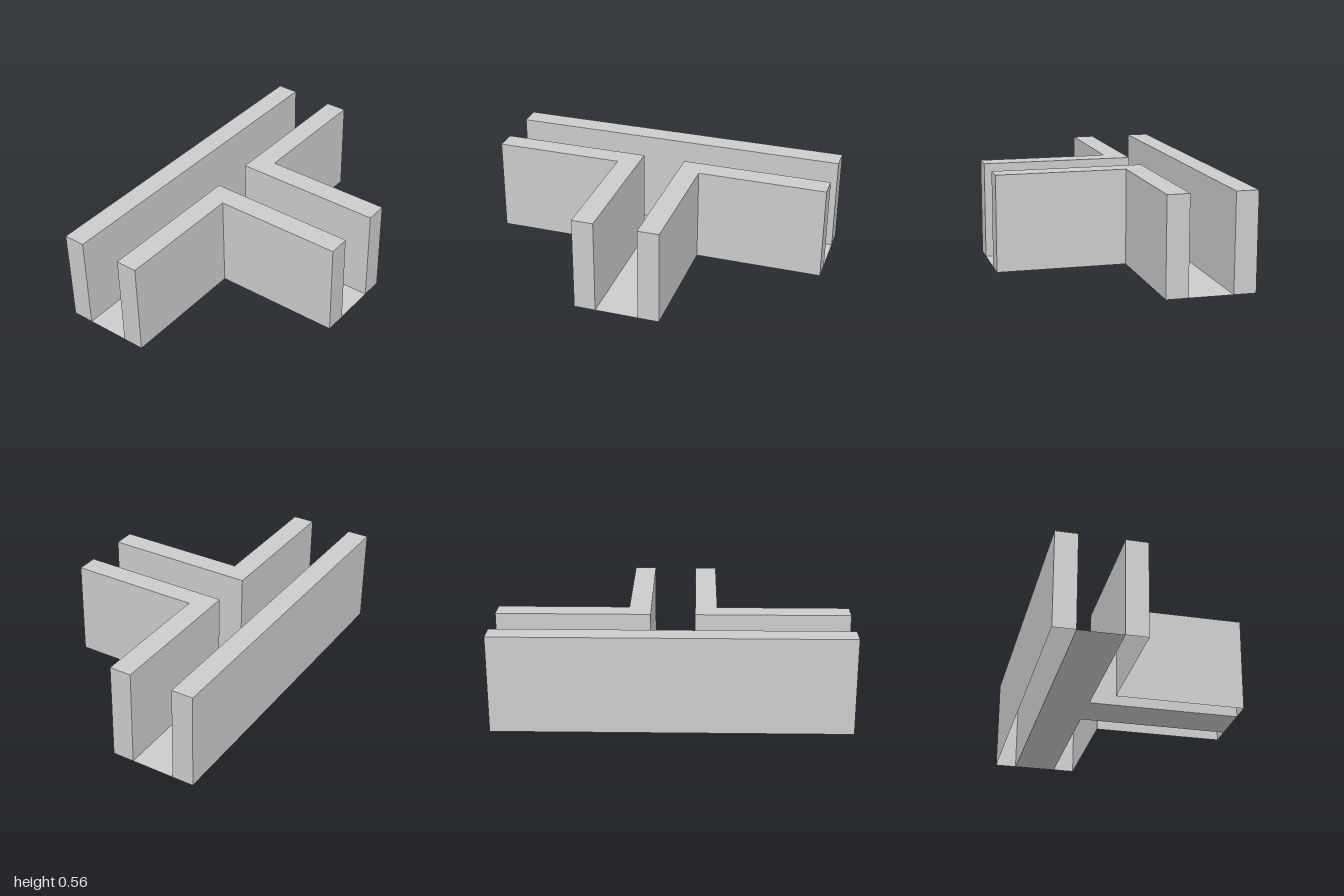
import * as THREE from 'three';

const HEIGHT = 0.555;
const material = new THREE.MeshStandardMaterial({ color: 0xcccccc, flatShading: true, side: THREE.DoubleSide });

// Plan outlines are [x, z] points
const outline = (points) => new THREE.Shape(points.map(([x, z]) => new THREE.Vector2(x, -z)));

// Walls are hollow shells: sides and top, open underneath
function wallGeometry(points) {
  const solid = new THREE.ExtrudeGeometry(outline(points), { depth: HEIGHT, bevelEnabled: false });
  solid.rotateX(-Math.PI / 2);
  const pos = solid.attributes.position;
  const kept = [];
  for (let i = 0; i < pos.count; i += 3) {
    const onGround = [0, 1, 2].every((k) => pos.getY(i + k) < 1e-4);
    if (onGround) continue;
    for (let k = 0; k < 3; k++) kept.push(pos.getX(i + k), pos.getY(i + k), pos.getZ(i + k));
  }
  const shell = new THREE.BufferGeometry();
  shell.setAttribute('position', new THREE.Float32BufferAttribute(kept, 3));
  shell.computeVertexNormals();
  return shell;
}

export function createModel() {
  const group = new THREE.Group();
  group.name = 'corridorJunction';
  const add = (name, geometry) => {
    const mesh = new THREE.Mesh(geometry, material);
    mesh.name = name;
    group.add(mesh);
  };

  // Long straight wall
  add('straightWall', wallGeometry([[-0.625, -1], [-0.5, -1], [-0.5, 1], [-0.625, 1]]));

  // L-shaped corner walls, mirrored front to back
  for (const [name, s] of [['frontCornerWall', 1], ['backCornerWall', -1]]) {
    add(name, wallGeometry([
      [-0.25, s], [-0.125, s], [-0.125, 0.25 * s],
      [0.625, 0.25 * s], [0.625, 0.125 * s], [-0.25, 0.125 * s],
    ]));
  }

  // Thin T-shaped floor between the walls
  const floor = new THREE.ShapeGeometry(outline([
    [-0.5, 1], [-0.25, 1], [-0.25, 0.125], [0.625, 0.125],
    [0.625, -0.125], [-0.25, -0.125], [-0.25, -1], [-0.5, -1],
  ]));
  add('floor', floor.rotateX(-Math.PI / 2));

  return group;
}
